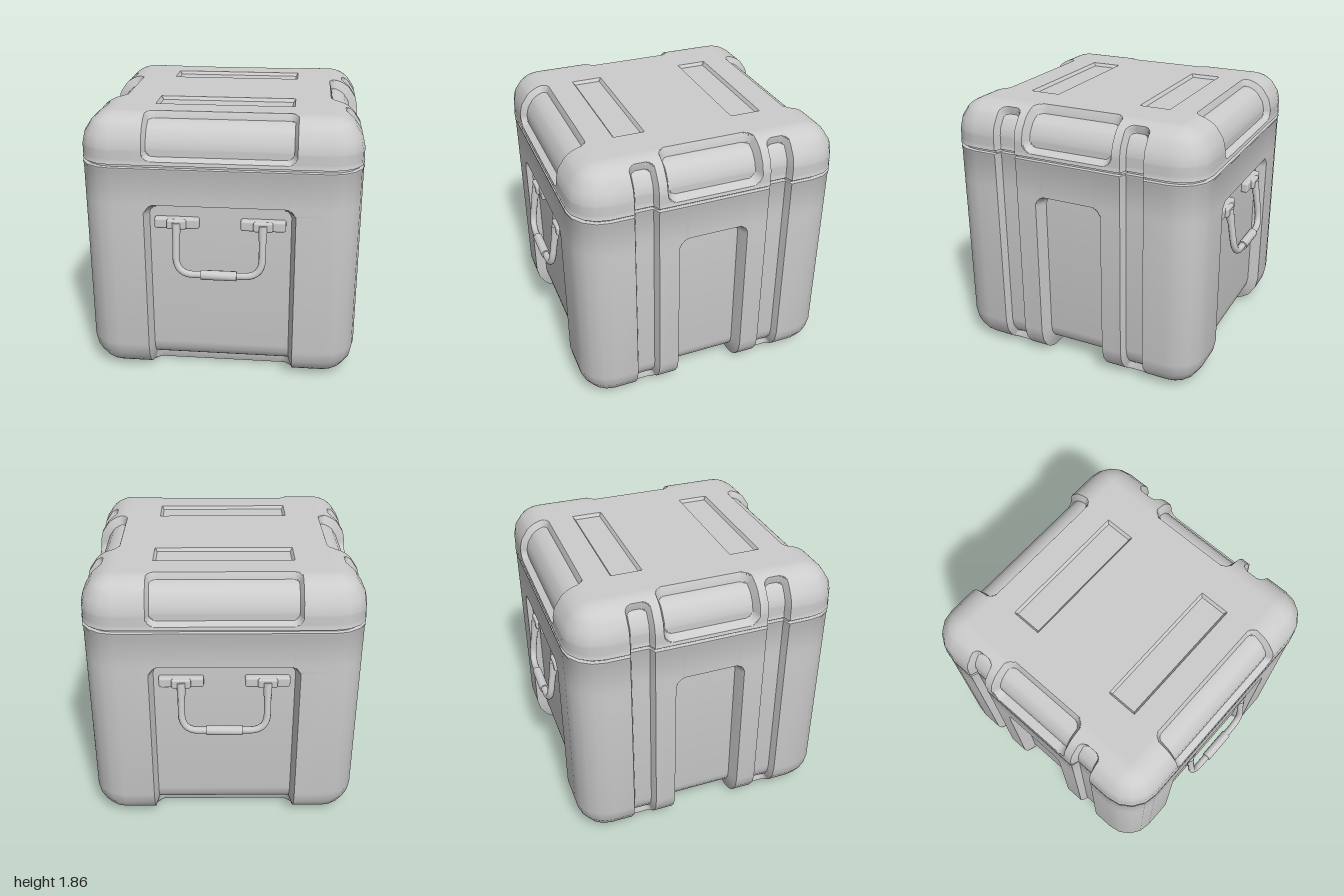
import * as THREE from 'three';
import { mergeGeometries, toCreasedNormals } from 'three/addons/utils/BufferGeometryUtils.js';
import { RoundedBoxGeometry } from 'three/addons/geometries/RoundedBoxGeometry.js';

const W = 0.93, H = 1.86, R = 0.22, C = W - R;   // half width, height, edge radius, corner centre
const ARC = Math.PI * R / 2;
const TOP = 2 * ARC + H - 2 * R;                 // profile length from floor edge to top edge
const sOf = y => ARC + y - R;                    // wall height -> profile length
const SEAM = sOf(1.543);
const material = new THREE.MeshStandardMaterial({ color: 0xcccccc, side: THREE.DoubleSide });

// Lip and groove where lid meets body: [height, outward offset]
const lip = [[1.512, 0], [1.52, 0.004], [1.531, 0.004], [1.534, -0.022], [1.543, -0.022],
  [1.551, -0.022], [1.554, 0.004], [1.564, 0.004], [1.572, 0]];
function lipOffset(y) {
  for (let i = 1; i < lip.length; i++) {
    const [y0, a] = lip[i - 1], [y1, b] = lip[i];
    if (y >= y0 && y <= y1) return a + (b - a) * (y - y0) / (y1 - y0);
  }
  return 0;
}

// Rounded recess: u range, v range, depth, bevel width (corner radius is three bevels)
const recess = (u0, u1, v0, v1, depth, bevel) => ({ u0, u1, v0, v1, depth, bevel });
const frontCuts = [
  recess(-0.5, 0.5, 0.001, sOf(1.28), 0.075, 0.028),
  recess(-0.5, 0.5, sOf(1.578), TOP - 0.001, 0.045, 0.022),
];
const sideCuts = [
  recess(-0.245, 0.245, -0.31, sOf(1.28), 0.09, 0.028),
  recess(-0.33, 0.33, sOf(1.578), TOP - 0.001, 0.06, 0.026),
  ...[-1, 1].map(m => recess(m * 0.47 - 0.082, m * 0.47 + 0.082, 0.1, TOP - 0.1, 0.052, 0.02)),
];
const topCuts = [-1, 1].map(m => recess(-0.468, 0.468, m * 0.42 - 0.108, m * 0.42 + 0.108, 0.022, 0.016));

function depthAt(cuts, u, v) {
  let d = 0;
  for (const c of cuts) {
    const r = c.depth === 0.022 ? 0 : c.bevel * 3;
    const qu = Math.abs(u - (c.u0 + c.u1) / 2) - (c.u1 - c.u0) / 2 + r;
    const qv = Math.abs(v - (c.v0 + c.v1) / 2) - (c.v1 - c.v0) / 2 + r;
    const dist = Math.hypot(Math.max(qu, 0), Math.max(qv, 0)) + Math.min(Math.max(qu, qv), 0) - r;
    d = Math.max(d, c.depth * Math.min(1, Math.max(0, -dist / c.bevel)));
  }
  return d;
}

// Grid lines that follow the recess edges, bevels and corners
function cutLines(cuts, a, b) {
  const out = [];
  for (const c of cuts) for (let i = 0; i <= 9; i++) {
    const t = i * c.bevel / 3;
    out.push(c[a] + t, c[b] - t);
  }
  return out;
}
function lines(values, lo, hi) {
  const out = [lo];
  for (const v of values.sort((p, q) => p - q)) {
    if (v > out[out.length - 1] + 0.0012 && v < hi - 0.0005) out.push(v);
  }
  return [...out, hi];
}

// Surface patch from grid lines and a rule giving each point
function patch(us, vs, rule) {
  const pos = [], index = [], n = us.length;
  for (const v of vs) for (const u of us) pos.push(...rule(u, v));
  for (let j = 0; j < vs.length - 1; j++) for (let i = 0; i < n - 1; i++) {
    const a = j * n + i;
    index.push(a, a + 1, a + n + 1, a, a + n + 1, a + n);
  }
  const g = new THREE.BufferGeometry();
  g.setAttribute('position', new THREE.Float32BufferAttribute(pos, 3));
  g.setIndex(index);
  return g;
}

// Point [outward, up] on the rounded vertical profile, pushed inward by d
function profile(s, d) {
  if (s < 0) return [C + s, d];
  if (s < ARC) {
    const a = s / R;
    return [C + (R - d) * Math.sin(a), R - (R - d) * Math.cos(a)];
  }
  if (s <= TOP - ARC) {
    const y = R + s - ARC;
    return [W - d + lipOffset(y), y];
  }
  const a = (TOP - s) / R;
  return [C + (R - d) * Math.sin(a), H - R + (R - d) * Math.cos(a)];
}

const rowValues = [...cutLines([...frontCuts, ...sideCuts], 'v0', 'v1'), ...lip.map(p => sOf(p[0]))];
for (let i = 0; i <= 4; i++) rowValues.push(i * ARC / 4, TOP - i * ARC / 4);

// Four walls and four rounded corners between two profile lengths
function shell(lo, hi) {
  const parts = [];
  for (let k = 0; k < 4; k++) {
    const cuts = k % 2 ? sideCuts : frontCuts;
    const start = lo === 0 && k % 2 ? -0.36 : lo;
    const wall = patch(lines(cutLines(cuts, 'u0', 'u1'), -C, C), lines([...rowValues], start, hi), (u, s) => {
      const [o, y] = profile(s, depthAt(cuts, u, s));
      return [u, y, o];
    });
    const corner = patch([0, 1, 2, 3, 4].map(i => i * Math.PI / 8), lines([...rowValues], lo, hi), (a, s) => {
      const [o, y] = profile(s, 0);
      return [C + (o - C) * Math.sin(a), y, C + (o - C) * Math.cos(a)];
    });
    parts.push(wall.rotateY(k * Math.PI / 2), corner.rotateY(k * Math.PI / 2));
  }
  return parts;
}

function mesh(name, geometry, parent) {
  const m = new THREE.Mesh(geometry, material);
  m.name = name;
  parent.add(m);
  return m;
}

// Swing handle on two brackets, built for the front
function handle(name) {
  const g = new THREE.Group();
  g.name = name;
  for (const m of [-1, 1]) {
    mesh('bracket', new RoundedBoxGeometry(0.3, 0.075, 0.06, 2, 0.016), g).position.set(m * 0.287, 1.143, 0.872);
    mesh('bracketCentre', new RoundedBoxGeometry(0.13, 0.068, 0.06, 2, 0.014), g).position.set(m * 0.287, 1.143, 0.892);
    const k = mesh('knuckle', new THREE.CylinderGeometry(0.03, 0.027, 0.1, 12), g);
    k.position.set(m * 0.287, 1.105, 0.917);
    k.rotation.x = -0.16;
  }
  // Bail path, leaning outward toward the grip
  const point = (x, y) => new THREE.Vector3(x, y, 0.966 - (y - 0.81) * 0.16);
  const path = new THREE.CurvePath();
  const p = [point(-0.287, 1.13), point(-0.287, 0.93), point(-0.287, 0.81), point(-0.167, 0.81)];
  const q = p.map(v => new THREE.Vector3(-v.x, v.y, v.z));
  path.add(new THREE.LineCurve3(p[0], p[1]));
  path.add(new THREE.QuadraticBezierCurve3(p[1], p[2], p[3]));
  path.add(new THREE.LineCurve3(p[3], q[3]));
  path.add(new THREE.QuadraticBezierCurve3(q[3], q[2], q[1]));
  path.add(new THREE.LineCurve3(q[1], q[0]));
  mesh('bail', new THREE.TubeGeometry(path, 64, 0.024, 10), g);
  const grip = new THREE.CylinderGeometry(0.033, 0.033, 0.24, 12).rotateZ(Math.PI / 2);
  mesh('grip', toCreasedNormals(grip, 0.7), g).position.set(0, 0.81, 0.967);
  return g;
}

export function createModel() {
  const model = new THREE.Group();
  model.name = 'storageCase';

  // Body with its floor between the side recesses
  const floor = patch([-0.35, 0.35], [-C, C], (u, v) => [u, 0, v]);
  mesh('body', toCreasedNormals(mergeGeometries([...shell(0, SEAM), floor]), 0.6), model);

  // Lid with two shallow slots on top
  const roof = patch(lines(cutLines(topCuts, 'u0', 'u1'), -C, C), lines(cutLines(topCuts, 'v0', 'v1'), -C, C),
    (u, v) => [u, H - depthAt(topCuts, u, v), -v]);
  mesh('lid', toCreasedNormals(mergeGeometries([...shell(SEAM, TOP), roof]), 0.6), model);

  const back = handle('backHandle');
  back.rotation.y = Math.PI;
  model.add(handle('frontHandle'), back);
  return model;
}
